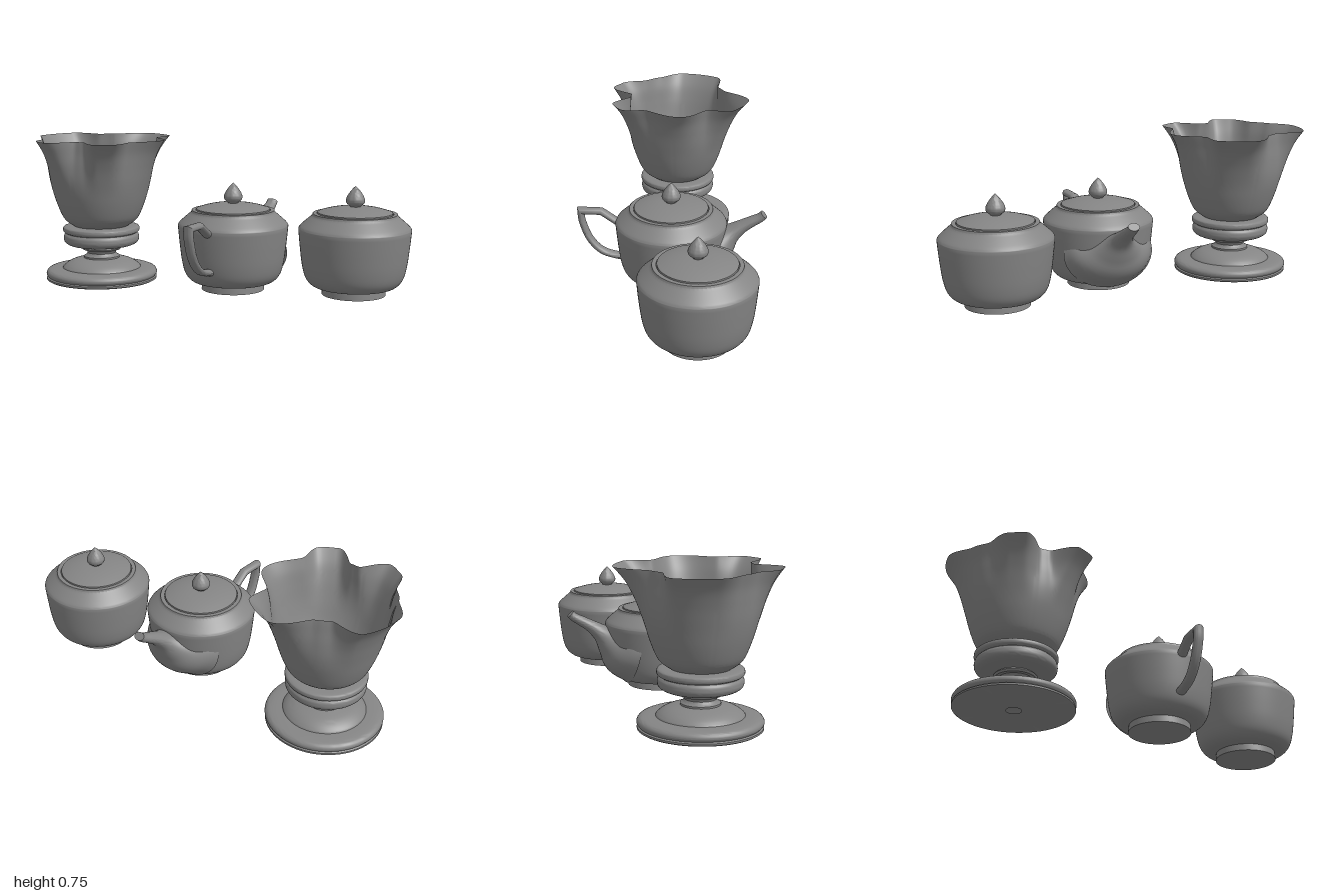
import * as THREE from 'three';
import { toCreasedNormals } from 'three/addons/utils/BufferGeometryUtils.js';

const clay = new THREE.MeshStandardMaterial({ color: 0x858585 });
const thin = new THREE.MeshStandardMaterial({ color: 0x858585, side: THREE.DoubleSide });
const vec = (pts) => pts.map(([x, y]) => new THREE.Vector2(x, y));
const spline = (pts, n) => new THREE.SplineCurve(vec(pts)).getPoints(n);

function add(parent, name, geometry, material = clay) {
  const mesh = new THREE.Mesh(toCreasedNormals(geometry, 0.6), material);
  mesh.name = name;
  parent.add(mesh);
}

// Mitred elliptical sweep along a path in the yz plane.
// Path entries are [z, y, halfWidth]; depth is halfWidth * ratio.
function sweep(path, ratio, sides = 28) {
  const pos = [], index = [];
  const dir = (a, b) => new THREE.Vector2(b[0] - a[0], b[1] - a[1]).normalize();
  const last = path.length - 1;
  path.forEach(([z, y, r], i) => {
    const before = dir(path[Math.max(i - 1, 0)], path[Math.max(i, 1)]);
    const after = dir(path[Math.min(i, last - 1)], path[Math.min(i + 1, last)]);
    const t = before.clone().add(after).normalize();
    const depth = r * ratio / t.dot(after);
    for (let j = 0; j < sides; j++) {
      const a = j / sides * Math.PI * 2, d = Math.sin(a) * depth;
      pos.push(r * Math.cos(a), y + d * t.x, z - d * t.y);
    }
  });
  for (let j = 0; j < sides; j++) {
    const k = (j + 1) % sides;
    for (let i = 0; i < last; i++) {
      const a = i * sides, b = a + sides;
      index.push(a + j, a + k, b + j, a + k, b + k, b + j);
    }
    // End caps
    if (j > 0 && k > 0) {
      const e = last * sides;
      index.push(0, k, j, e, e + j, e + k);
    }
  }
  const g = new THREE.BufferGeometry();
  g.setAttribute('position', new THREE.Float32BufferAttribute(pos, 3));
  g.setIndex(index);
  return g;
}

// Ruffled rim: [angle in degrees from +x towards +z, radius]
const RIM = [
  [-78, 0.4], [-53, 0.395], [-36, 0.3], [-8, 0.364], [27, 0.31], [46, 0.39], [60, 0.383],
  [76, 0.255], [85, 0.25], [104, 0.375], [117, 0.365], [139, 0.3], [155, 0.31], [180, 0.369],
  [212, 0.372], [236, 0.255], [250, 0.26], [282, 0.4],
];

function rimRadius(deg) {
  if (deg < -78) deg += 360;
  const i = Math.max(1, RIM.findIndex(([a]) => a >= deg));
  const [a0, r0] = RIM[i - 1], [a1, r1] = RIM[i];
  return r0 + (r1 - r0) * THREE.MathUtils.smoothstep(deg, a0, a1);
}

function createVase() {
  const vase = new THREE.Group();
  vase.name = 'vase';

  // Hollow foot, stem and collar, open through the middle
  add(vase, 'vaseFoot', new THREE.LatheGeometry([
    ...vec([[0.037, 0], [0.285, 0], [0.293, 0.005], [0.293, 0.014], [0.285, 0.019]]),
    ...spline([[0.287, 0.02], [0.295, 0.036], [0.283, 0.055], [0.25, 0.062], [0.207, 0.064]], 14),
    ...spline([[0.205, 0.068], [0.185, 0.085], [0.15, 0.102], [0.095, 0.115]], 10),
    ...vec([[0.095, 0.124]]),
    ...spline([[0.088, 0.126], [0.075, 0.142], [0.085, 0.158]], 8),
    ...spline([[0.1, 0.16], [0.107, 0.17], [0.095, 0.181]], 6),
  ], 72), thin);
  add(vase, 'vaseCollar', new THREE.LatheGeometry([
    ...spline([[0.095, 0.181], [0.16, 0.185], [0.192, 0.2], [0.2, 0.22], [0.197, 0.24], [0.188, 0.25]], 16),
    ...spline([[0.188, 0.251], [0.2, 0.258], [0.203, 0.27], [0.195, 0.284], [0.145, 0.289]], 14),
  ], 72), thin);

  // Bowl with a stepped, pierced floor, flaring into the ruffled rim
  const bowl = new THREE.LatheGeometry([
    ...vec([[0.037, 0.278], [0.075, 0.278], [0.075, 0.289]]),
    ...spline([
      [0.145, 0.289], [0.182, 0.315], [0.207, 0.35], [0.238, 0.43],
      [0.266, 0.53], [0.286, 0.62], [0.304, 0.69], [0.33, 0.752],
    ], 44),
  ], 180);
  const p = bowl.attributes.position;
  for (let i = 0; i < p.count; i++) {
    const x = p.getX(i), z = p.getZ(i);
    const ruffle = THREE.MathUtils.clamp((p.getY(i) - 0.46) / 0.292, 0, 1) ** 1.8;
    const rim = rimRadius(THREE.MathUtils.radToDeg(Math.atan2(z, x))) / 0.33;
    const s = 1 + (rim - 1) * ruffle;
    p.setX(i, x * s);
    p.setZ(i, z * s);
  }
  add(vase, 'vaseBowl', bowl, thin);
  return vase;
}

// Lidded pot shared by the teapot and the sugar bowl
function createPot(name) {
  const pot = new THREE.Group();
  pot.name = name;
  add(pot, 'body', new THREE.LatheGeometry([
    ...vec([[0, 0.02], [0.158, 0.02], [0.155, 0.055]]),
    ...spline([[0.16, 0.056], [0.205, 0.066], [0.238, 0.1], [0.256, 0.16], [0.268, 0.25], [0.277, 0.343]], 24),
    ...spline([[0.277, 0.348], [0.27, 0.36], [0.245, 0.383], [0.21, 0.413]], 8),
    ...vec([[0.207, 0.424], [0.187, 0.424], [0.187, 0.415], [0, 0.415]]),
  ], 72));
  add(pot, 'lid', new THREE.LatheGeometry([
    ...vec([[0.184, 0.415], [0.184, 0.43]]),
    ...spline([[0.182, 0.431], [0.13, 0.446], [0.07, 0.456], [0, 0.459]], 12),
  ], 72));
  add(pot, 'knob', new THREE.LatheGeometry(spline([
    [0.024, 0.45], [0.027, 0.461], [0.043, 0.475], [0.046, 0.494],
    [0.034, 0.52], [0.015, 0.545], [0, 0.56],
  ], 24), 36));
  return pot;
}

function createTeapot() {
  const teapot = createPot('teapot');
  const grip = spline([[0.453, 0.392], [0.446, 0.33], [0.409, 0.237], [0.342, 0.171], [0.23, 0.143]], 28);
  add(teapot, 'handle', sweep([
    [0.25, 0.325, 0.026], [0.35, 0.392, 0.026], ...grip.map((q) => [q.x, q.y, 0.026]),
  ], 0.66));
  // Spout swells broadly where it meets the body
  const spout = new THREE.CatmullRomCurve3([
    [-0.14, 0.21, 0.235], [-0.2, 0.225, 0.195], [-0.25, 0.257, 0.12], [-0.3, 0.3, 0.066],
    [-0.35, 0.338, 0.044], [-0.4, 0.368, 0.035], [-0.442, 0.392, 0.03], [-0.459, 0.408, 0.029],
  ].map((q) => new THREE.Vector3(...q)));
  add(teapot, 'spout', sweep(spout.getPoints(36).map((q) => q.toArray()), 0.74, 40));
  return teapot;
}

export function createModel() {
  const model = new THREE.Group();
  model.name = 'teaSetWithVase';
  const vase = createVase();
  vase.position.set(-0.632, 0, 0.04);
  const teapot = createTeapot();
  teapot.position.set(0.14, 0, 0.003);
  const sugarBowl = createPot('sugarBowl');
  sugarBowl.position.set(0.723, 0, -0.172);
  model.add(vase, teapot, sugarBowl);
  return model;
}
